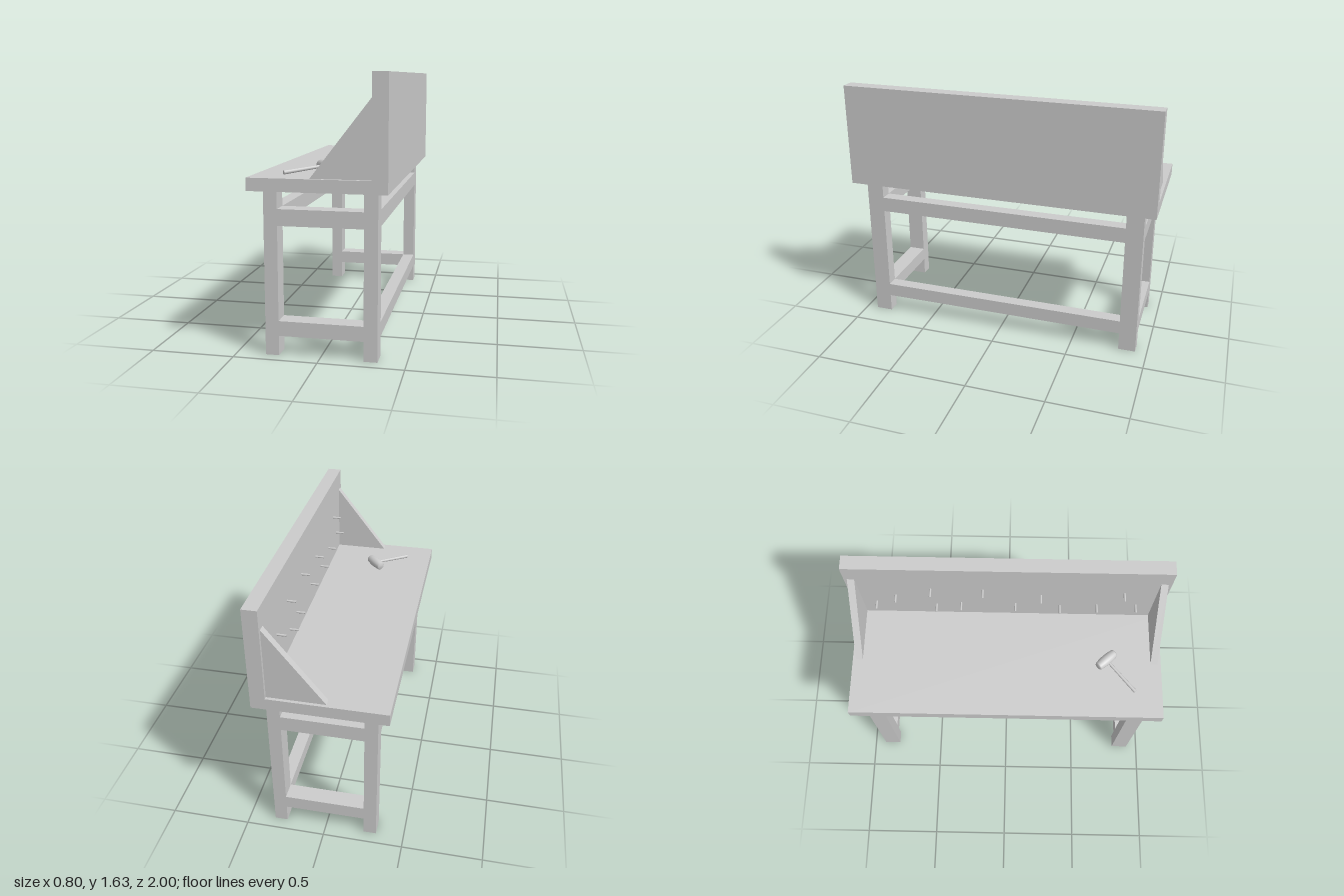
import * as THREE from 'three';

const material = new THREE.MeshStandardMaterial({ color: 0xcccccc, flatShading: true });
const openMaterial = new THREE.MeshStandardMaterial({ color: 0xcccccc, flatShading: true, side: THREE.DoubleSide });
const smoothMaterial = new THREE.MeshStandardMaterial({ color: 0xcccccc });

export function createModel() {
  const model = new THREE.Group();
  model.name = 'workbench';

  const add = (name, geometry, mat = material) => {
    const mesh = new THREE.Mesh(geometry, mat);
    mesh.name = name;
    model.add(mesh);
    return mesh;
  };
  // Box given by its limits on each axis
  const box = (name, x0, x1, y0, y1, z0, z1) =>
    add(name, new THREE.BoxGeometry(x1 - x0, y1 - y0, z1 - z0))
      .position.set((x0 + x1) / 2, (y0 + y1) / 2, (z0 + z1) / 2);
  // Side outline in x and y, extruded along z
  const slab = (name, points, z0, z1) => {
    const shape = new THREE.Shape(points.map(([x, y]) => new THREE.Vector2(x, y)));
    add(name, new THREE.ExtrudeGeometry(shape, { depth: z1 - z0, bevelEnabled: false })).position.z = z0;
  };
  // Turned part whose axis runs from a to b
  const align = (mesh, a, b) => {
    mesh.position.copy(a).add(b).multiplyScalar(0.5);
    mesh.quaternion.setFromUnitVectors(new THREE.Vector3(0, 1, 0), b.clone().sub(a).normalize());
  };

  // Worktop and backboard in one L-shaped piece
  slab('worktopAndBackboard', [
    [-0.4, 0.975], [0.4, 0.975], [0.4, 1.63], [0.31, 1.63], [0.31, 1.05], [-0.4, 1.05],
  ], -1, 1);

  const low = [0.118, 0.207], high = [0.768, 0.865];
  for (const s of [-1, 1]) {
    const z0 = s > 0 ? 0.815 : -0.925, z1 = z0 + 0.11;
    // Legs are square tubes, open at the ends
    for (const x of [-0.285, 0.295]) {
      const tube = new THREE.CylinderGeometry(Math.SQRT1_2, Math.SQRT1_2, 0.975, 4, 1, true);
      tube.rotateY(Math.PI / 4).scale(0.08, 1, 0.11);
      add('leg', tube, openMaterial).position.set(x, 0.4875, s * 0.87);
    }
    // End rails
    for (const [y0, y1] of [low, high]) box('endRail', -0.245, 0.255, y0, y1, z0, z1);
    // Triangular bracket between worktop and backboard
    const zb = s > 0 ? 0.933 : -0.98;
    slab('bracket', [[-0.04, 1.05], [0.31, 1.05], [0.31, 1.5]], zb, zb + 0.045);
  }

  // Long rails: two behind, one under the front edge of the worktop
  box('lowerLongRail', 0.255, 0.335, ...low, -0.815, 0.815);
  box('upperLongRail', 0.255, 0.335, ...high, -0.815, 0.815);
  box('upperLongRail', -0.325, -0.245, ...high, -0.815, 0.815);

  // Tool pegs on the backboard, as [y, z]
  const pegs = [
    [1.2, -0.845], [1.295, -0.71], [1.385, -0.482], [1.17, -0.46], [1.195, -0.3], [1.385, -0.155],
    [1.2, 0.05], [1.32, 0.21], [1.18, 0.338], [1.2, 0.575], [1.37, 0.73], [1.205, 0.825],
  ];
  for (const [y, z] of pegs) {
    const peg = add('peg', new THREE.CylinderGeometry(0.007, 0.007, 0.06, 8), smoothMaterial);
    peg.rotation.z = Math.PI / 2;
    peg.position.set(0.283, y, z);
  }

  // Mallet lying on the worktop
  const headCentre = new THREE.Vector3(-0.026, 1.085, 0.643);
  const handleEnd = new THREE.Vector3(-0.231, 1.061, 0.826);
  const handle = add('malletHandle', new THREE.CylinderGeometry(0.009, 0.012, headCentre.distanceTo(handleEnd), 12), smoothMaterial);
  align(handle, handleEnd, headCentre);

  const profile = [[0, -0.075], [0.022, -0.073], [0.028, -0.066], [0.033, -0.03],
    [0.034, 0], [0.033, 0.03], [0.028, 0.066], [0.022, 0.073], [0, 0.075]];
  const head = add('malletHead', new THREE.LatheGeometry(profile.map(([r, y]) => new THREE.Vector2(r, y)), 20), smoothMaterial);
  const axis = new THREE.Vector3(0.05, 0, 0.056);
  align(head, headCentre.clone().sub(axis), headCentre.clone().add(axis));

  return model;
}
